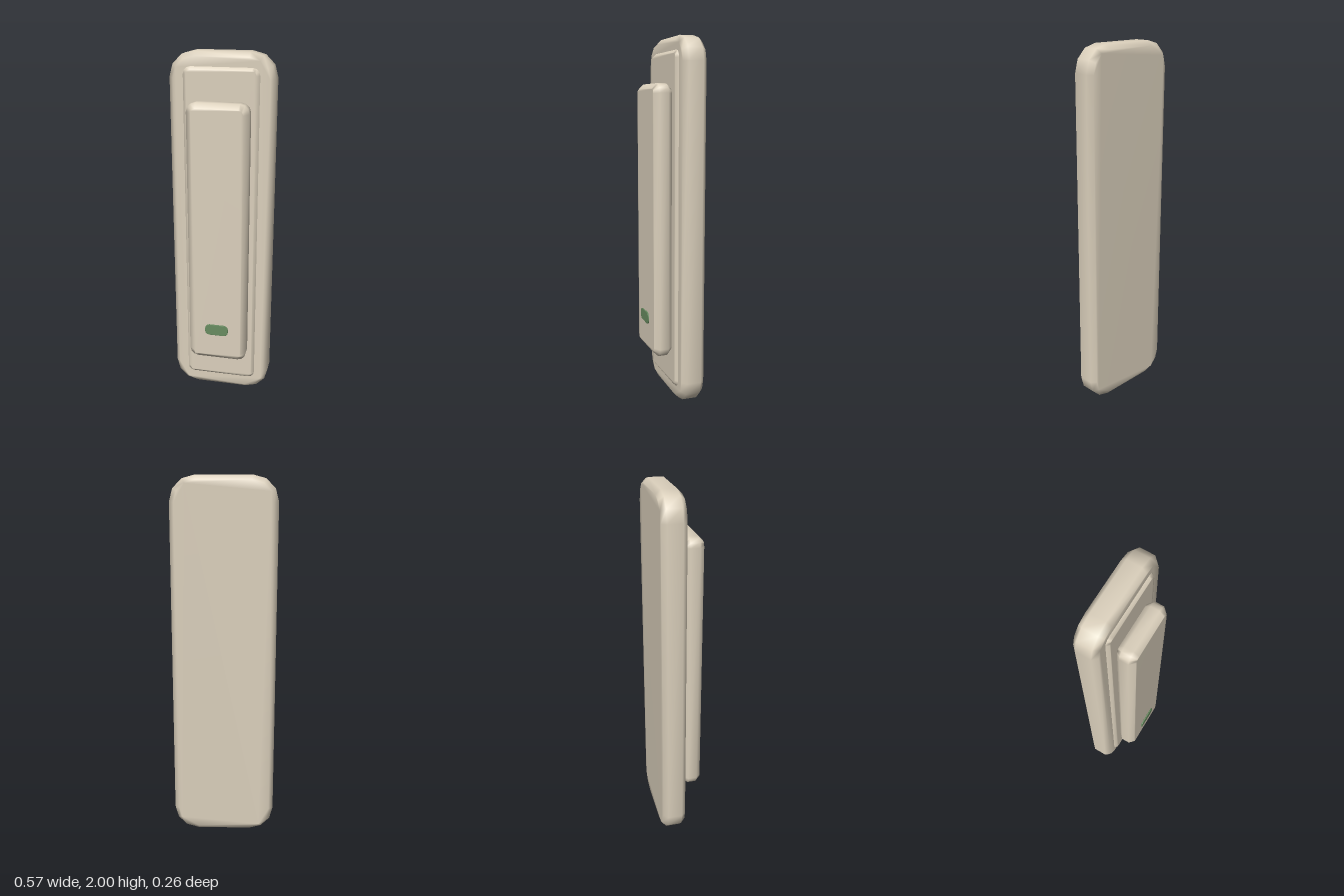
import * as THREE from 'three';
import { mergeVertices } from 'three/addons/utils/BufferGeometryUtils.js';

// Rounded upright slab from z0 to z1 with a one-step chamfer and smooth shared normals
function slab(w, y0, y1, z0, z1, radius, bevel) {
  const x = w / 2, r = radius, s = new THREE.Shape();
  const corners = [[x - r, y0 + r, -90], [x - r, y1 - r, 0], [-x + r, y1 - r, 90], [-x + r, y0 + r, 180]];
  const points = [];
  for (const [cx, cy, start] of corners) {
    for (let i = 0; i <= 3; i++) {
      const a = THREE.MathUtils.degToRad(start + i * 30);
      points.push(new THREE.Vector2(cx + r * Math.cos(a), cy + r * Math.sin(a)));
    }
  }
  s.setFromPoints(points);
  let g = new THREE.ExtrudeGeometry(s, {
    depth: z1 - z0 - 2 * bevel, bevelEnabled: bevel > 0, bevelThickness: bevel,
    bevelSize: bevel, bevelOffset: -bevel, bevelSegments: 1,
  });
  g.translate(0, 0, z0 + bevel);
  g.deleteAttribute('normal');
  g.deleteAttribute('uv');
  g = mergeVertices(g, 1e-4);
  g.computeVertexNormals();
  return g;
}

export function createModel() {
  const group = new THREE.Group();
  const shell = new THREE.MeshStandardMaterial({ color: 0xdbd0bc });
  shell.name = 'warm beige';
  const lamp = new THREE.MeshStandardMaterial({ color: 0x688c60 });
  lamp.name = 'indicator green';

  const add = (name, geometry, material) => {
    const mesh = new THREE.Mesh(geometry, material);
    mesh.name = name;
    group.add(mesh);
  };

  // Back housing, raised step, large rocker and its indicator
  add('housing', slab(0.566, 0, 2, -0.13, 0, 0.135, 0.025), shell);
  add('raisedPlate', slab(0.41, 0.083, 1.925, -0.025, 0.015, 0.04, 0.016), shell);
  add('rocker', slab(0.334, 0.255, 1.755, 0.015, 0.118, 0.05, 0.027), shell);
  add('indicator', slab(0.134, 0.424, 0.49, 0.122, 0.129, 0.025, 0.001), lamp);
  return group;
}
